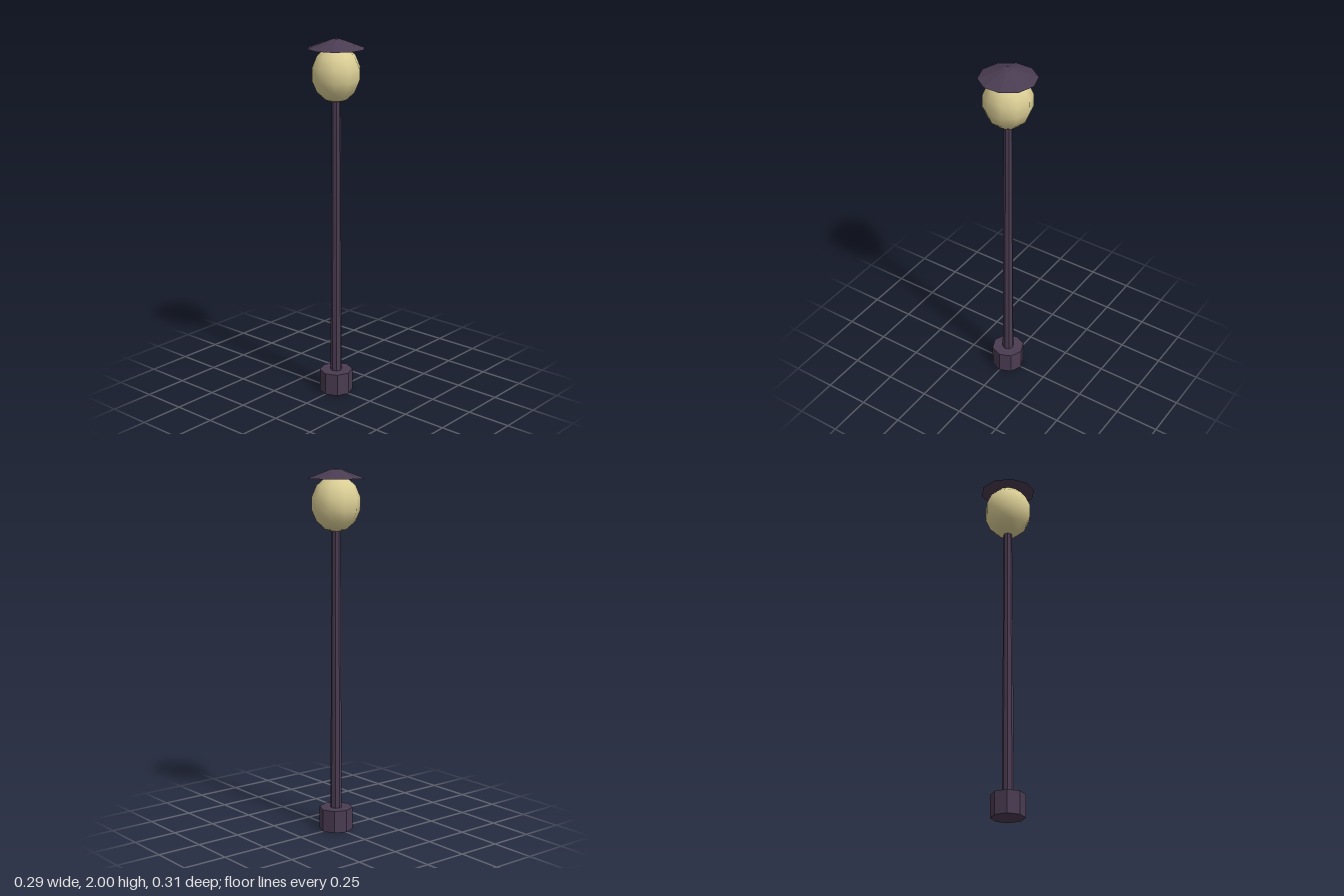
import * as THREE from 'three';

export function createModel() {
  const group = new THREE.Group();
  const metal = new THREE.MeshStandardMaterial({ color: 0x4a3c52 });
  metal.name = 'dark plum metal';
  metal.flatShading = true;
  const glass = new THREE.MeshStandardMaterial({ color: 0xdccf96 });
  glass.name = 'warm cream glass';

  const add = (name, geometry, material, y) => {
    const mesh = new THREE.Mesh(geometry, material);
    mesh.name = name;
    mesh.position.y = y;
    group.add(mesh);
    return mesh;
  };

  // Octagonal foot and slightly tapered post
  add('base', new THREE.CylinderGeometry(0.0925, 0.0925, 0.125, 8), metal, 0.0625);
  add('post', new THREE.CylinderGeometry(0.024, 0.032, 1.58, 8), metal, 0.915);

  // Ten-sided, slightly tall globe
  const globe = new THREE.SphereGeometry(0.1345, 10, 7);
  globe.rotateY(Math.PI / 2);
  globe.scale(1, 1.14, 1);
  add('globe', globe, glass, 1.817);

  // Shallow ten-sided cap with a small blunt top
  add('cap', new THREE.CylinderGeometry(0.025, 0.155, 0.05, 10), metal, 1.975);

  return group;
}
